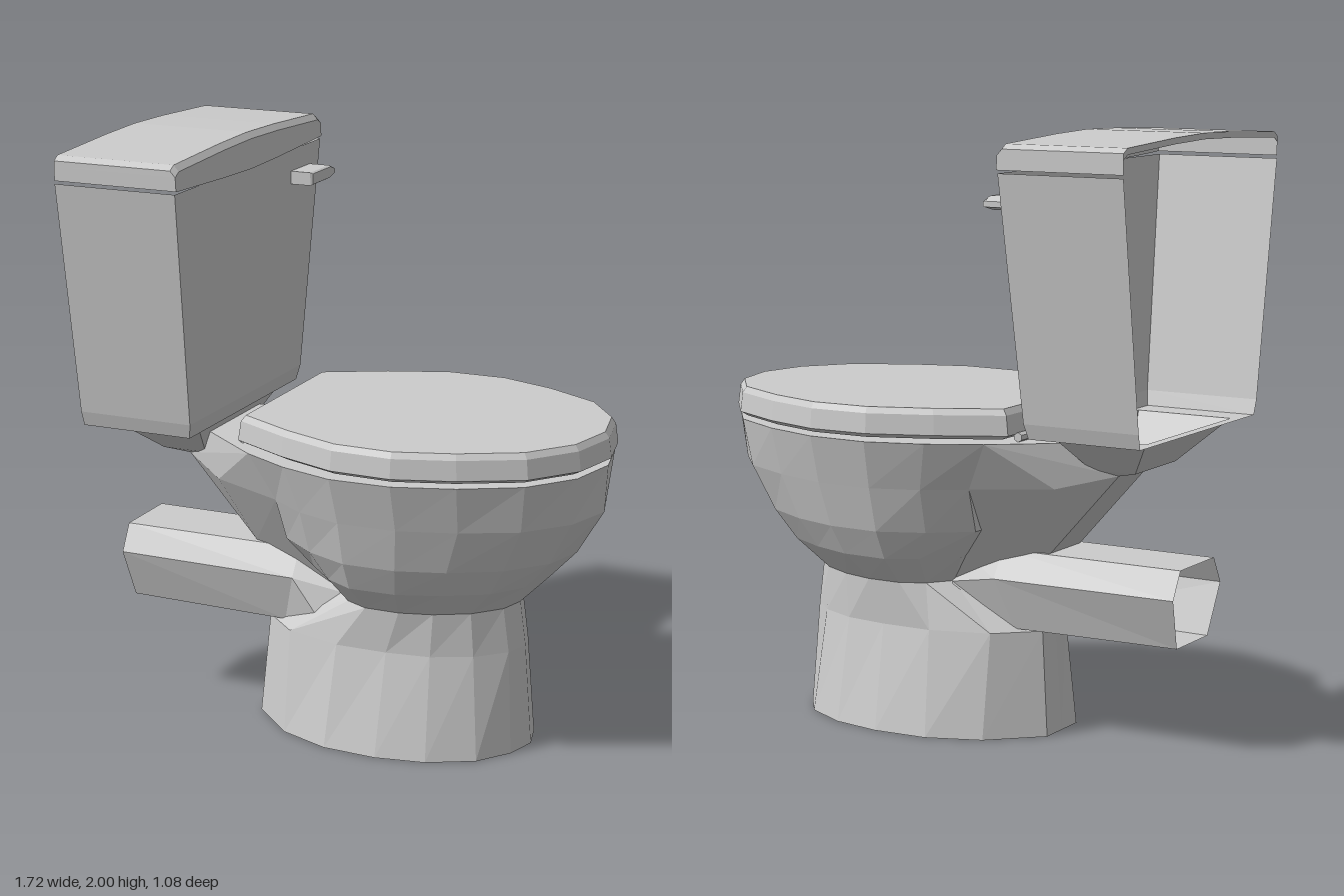
import * as THREE from 'three';
import { ConvexGeometry } from 'three/addons/geometries/ConvexGeometry.js';

const material = new THREE.MeshStandardMaterial({ color: 0xcccccc, flatShading: true, side: THREE.DoubleSide });

// Skins a list of rings of [x, y, z] points; optional fan caps on the first and last ring.
function loft(rings, { closed = true, capStart = false, capEnd = false } = {}) {
  const pos = [];
  const tri = (a, b, c) => pos.push(...a, ...b, ...c);
  const n = rings[0].length;
  for (let r = 0; r < rings.length - 1; r++) {
    for (let i = 0; i < (closed ? n : n - 1); i++) {
      const j = (i + 1) % n, lo = rings[r], hi = rings[r + 1];
      tri(lo[i], lo[j], hi[j]);
      tri(lo[i], hi[j], hi[i]);
    }
  }
  const cap = (ring, flip) => {
    const c = [0, 1, 2].map(k => ring.reduce((s, p) => s + p[k], 0) / n);
    ring.forEach((p, i) => {
      const q = ring[(i + 1) % n];
      if (flip) tri(c, q, p); else tri(c, p, q);
    });
  };
  if (capStart) cap(rings[0], true);
  if (capEnd) cap(rings[rings.length - 1], false);
  const g = new THREE.BufferGeometry();
  g.setAttribute('position', new THREE.Float32BufferAttribute(pos, 3));
  g.computeVertexNormals();
  return g;
}

// Horizontal ring at height y from its +z half, given back to front as [x, z].
function mirrored(y, half) {
  const left = half.map(([x, z]) => [x, y, z]);
  const right = half.slice(1, -1).reverse().map(([x, z]) => [x, y, -z]);
  return [...left, ...right];
}

// Rectangle in plan, starting at the back.
const rect = (y, back, front, w) => [[back, y, w], [front, y, w], [front, y, -w], [back, y, -w]];

export function createModel() {
  const model = new THREE.Group();
  const add = (name, geometry) => {
    const mesh = new THREE.Mesh(geometry, material);
    mesh.name = name;
    model.add(mesh);
    return mesh;
  };

  // Pedestal, open underneath
  const waist = [[-.03, 0], [-.03, .15], [.03, .23], [.11, .27], [.23, .27], [.34, .24], [.45, .18], [.53, .09], [.555, 0]];
  add('pedestal', loft([
    mirrored(0, [[-.36, 0], [-.36, .1], [-.2, .25], [-.02, .32], [.17, .33], [.34, .3], [.49, .22], [.57, .11], [.6, 0]]),
    mirrored(.35, [[-.335, 0], [-.33, .08], [-.2, .2], [0, .26], [.18, .26], [.33, .24], [.46, .18], [.55, .09], [.575, 0]]),
    mirrored(.5, waist),
  ]));

  // Bowl
  add('bowl', loft([
    mirrored(.5, waist),
    mirrored(.6, [[-.1, 0], [-.1, .22], [0, .32], [.1, .375], [.26, .37], [.4, .32], [.54, .24], [.62, .13], [.655, 0]]),
    mirrored(.7, [[-.19, 0], [-.18, .26], [-.05, .36], [.1, .425], [.28, .42], [.44, .37], [.6, .28], [.71, .15], [.75, 0]]),
    mirrored(.85, [[-.19, 0], [-.19, .32], [-.06, .41], [.1, .465], [.3, .46], [.49, .4], [.67, .31], [.79, .17], [.84, 0]]),
    mirrored(1.01, [[-.27, 0], [-.27, .36], [-.1, .45], [.09, .51], [.3, .505], [.5, .44], [.69, .335], [.81, .18], [.85, 0]]),
  ], { capEnd: true }));

  // Wedge-shaped neck joining bowl and tank
  const neck = [[-.53, 1.01, .16], [-.62, .9, .1], [-.27, 1.01, .36], [-.19, .85, .32],
    [-.45, .86, .22], [-.37, .62, .1], [-.03, .5, .15]];
  add('neck', new ConvexGeometry(neck.flatMap(([x, y, z]) =>
    [new THREE.Vector3(x, y, z), new THREE.Vector3(x, y, -z)])));

  // Hexagonal waste pipe, open at the back
  const pipeRing = (xTop, xLow, top, mid, low, wTop, wMid, wLow) => [
    [xTop, top, -wTop], [xTop, top, wTop], [xTop, mid, wMid],
    [xLow, low, wLow], [xLow, low, -wLow], [xTop, mid, -wMid]];
  add('wastePipe', loft([
    pipeRing(-.855, -.84, .62, .53, .36, .12, .17, .11),
    pipeRing(-.2, -.25, .62, .53, .36, .12, .18, .13),
    pipeRing(-.03, -.05, .6, .5, .35, .1, .16, .2),
  ]));

  // Seat cover with bevelled edge
  const cover = [[-.33, 0], [-.33, .31], [-.12, .42], [.09, .5], [.3, .505], [.5, .44], [.7, .335], [.82, .18], [.86, 0]];
  const coverRing = (y, s) => mirrored(y, cover.map(([x, z]) => [.265 + (x - .265) * s, z * s]));
  add('seatCover', loft([
    coverRing(1.02, .95), coverRing(1.035, 1), coverRing(1.1, .985), coverRing(1.12, .96),
  ], { capStart: true, capEnd: true }));

  // Hinges
  for (const side of [-1, 1]) {
    const hinge = add('hinge', new THREE.CylinderGeometry(.016, .016, .12, 6).rotateX(Math.PI / 2));
    hinge.position.set(-.338, 1.025, side * .2);
  }

  // Tank walls, open at the back
  add('tank', loft([
    rect(1.05, -.855, -.46, .405), rect(1.1, -.857, -.45, .42), rect(1.89, -.86, -.425, .54),
  ], { closed: false }));

  // Tank floor and outlet funnel
  add('tankOutlet', loft([
    rect(.9, -.62, -.56, .1), rect(.92, -.7, -.54, .14), rect(1.05, -.82, -.48, .3), rect(1.05, -.855, -.46, .405),
  ]));

  // Arched tank lid, open at the back and underneath
  const lidStations = [[-.54, 1.965, 1.9], [-.515, 1.98, 1.898], [-.2, 1.995, 1.885], [0, 2, 1.88],
    [.2, 1.995, 1.885], [.515, 1.98, 1.898], [.54, 1.965, 1.9]];
  add('tankLid', loft(lidStations.map(([z, top, low]) => [
    [-.42, low, z], [-.422, top - .02, z], [-.44, top, z], [-.86, top, z], [-.86, low, z],
  ].slice(0, 4).concat([[-.86, top - .02, z]])), { closed: false }));
  for (const side of [-1, 1]) {
    const w = side * .54;
    add('lidEnd', loft([
      [[-.86, 1.9, w], [-.42, 1.9, w]],
      [[-.86, 1.945, w], [-.422, 1.945, w]],
      [[-.86, 1.965, w], [-.44, 1.965, w]],
    ].map(r => side > 0 ? r : r.reverse()), { closed: false }));
  }

  // Flush handle with a tapered tip
  const lever = new THREE.Shape([[.31, 1.77], [.45, 1.77], [.5, 1.782], [.5, 1.8], [.46, 1.815], [.31, 1.815]]
    .map(([u, v]) => new THREE.Vector2(u, v)));
  const handle = add('flushHandle', new THREE.ExtrudeGeometry(lever, {
    depth: .075, bevelEnabled: true, bevelSegments: 1, bevelSize: .004, bevelThickness: .008, bevelOffset: -.004,
  }).rotateY(Math.PI / 2));
  handle.position.x = -.43;

  return model;
}
